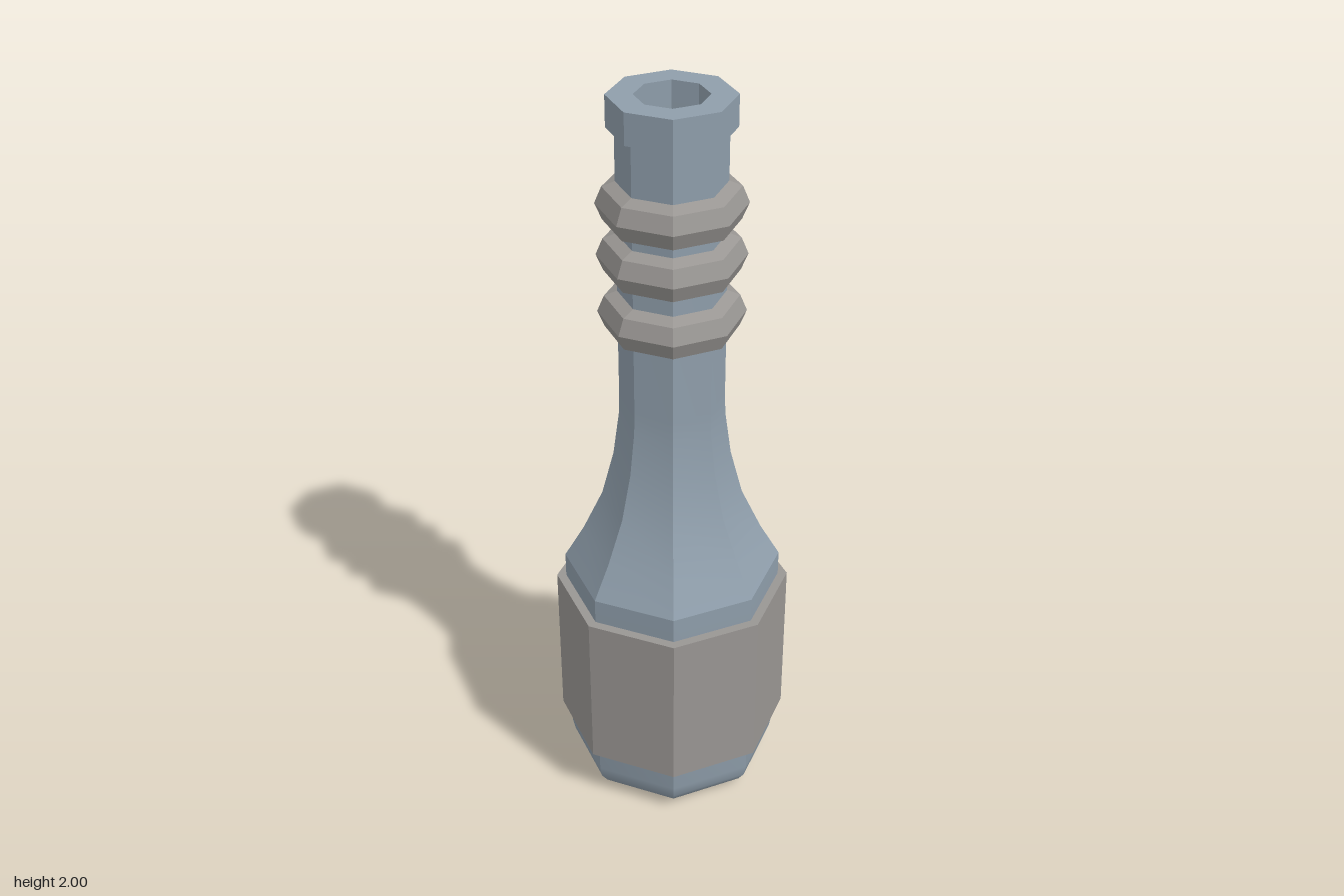
import * as THREE from 'three';
import { toCreasedNormals } from 'three/addons/utils/BufferGeometryUtils.js';

const SIDES = 8;

// Eight-sided lathe, smooth along the profile and sharp between the panels
function lathe(name, profile, material) {
  const points = profile.map(([r, y]) => new THREE.Vector2(r, y));
  const geometry = toCreasedNormals(new THREE.LatheGeometry(points, SIDES), 0.45);
  const mesh = new THREE.Mesh(geometry, material);
  mesh.name = name;
  return mesh;
}

export function createModel() {
  const model = new THREE.Group();
  model.name = 'bottle';
  const glass = new THREE.MeshStandardMaterial({ color: 0x8f9eab });
  const grey = new THREE.MeshStandardMaterial({ color: 0x999693 });
  const ringGrey = new THREE.MeshStandardMaterial({ color: 0x999693, flatShading: true });

  // Rounded bottom edge
  const base = [[0, 0]];
  for (let i = 0; i <= 4; i++) {
    const a = (i / 4) * Math.PI / 2;
    base.push([0.2 + 0.09 * Math.sin(a), 0.09 - 0.09 * Math.cos(a)]);
  }

  // Hollow bottle: outer wall up to the lip, then the inner wall back down
  model.add(lathe('bottleBody', [
    ...base,
    [0.29, 0.69], [0.238, 0.78], [0.185, 0.895], [0.153, 1.02], [0.137, 1.14],
    [0.135, 1.2], [0.135, 1.92],
    [0.155, 1.92], [0.155, 2], [0.09, 2],
    [0.09, 1.14], [0.14, 0.9], [0.24, 0.68], [0.24, 0.06], [0, 0.06],
  ], glass));

  // Band wrapped round the body
  model.add(lathe('labelBand', [
    [0.28, 0.16], [0.315, 0.16], [0.315, 0.62], [0.28, 0.62],
  ], grey));

  // Three rings round the neck
  const ringGeometry = new THREE.TorusGeometry(0.125, 0.06, 8, SIDES).rotateX(Math.PI / 2);
  [1.44, 1.595, 1.73].forEach((y, i) => {
    const ring = new THREE.Mesh(ringGeometry, ringGrey);
    ring.name = `neckRing${i + 1}`;
    ring.position.y = y;
    model.add(ring);
  });

  return model;
}
